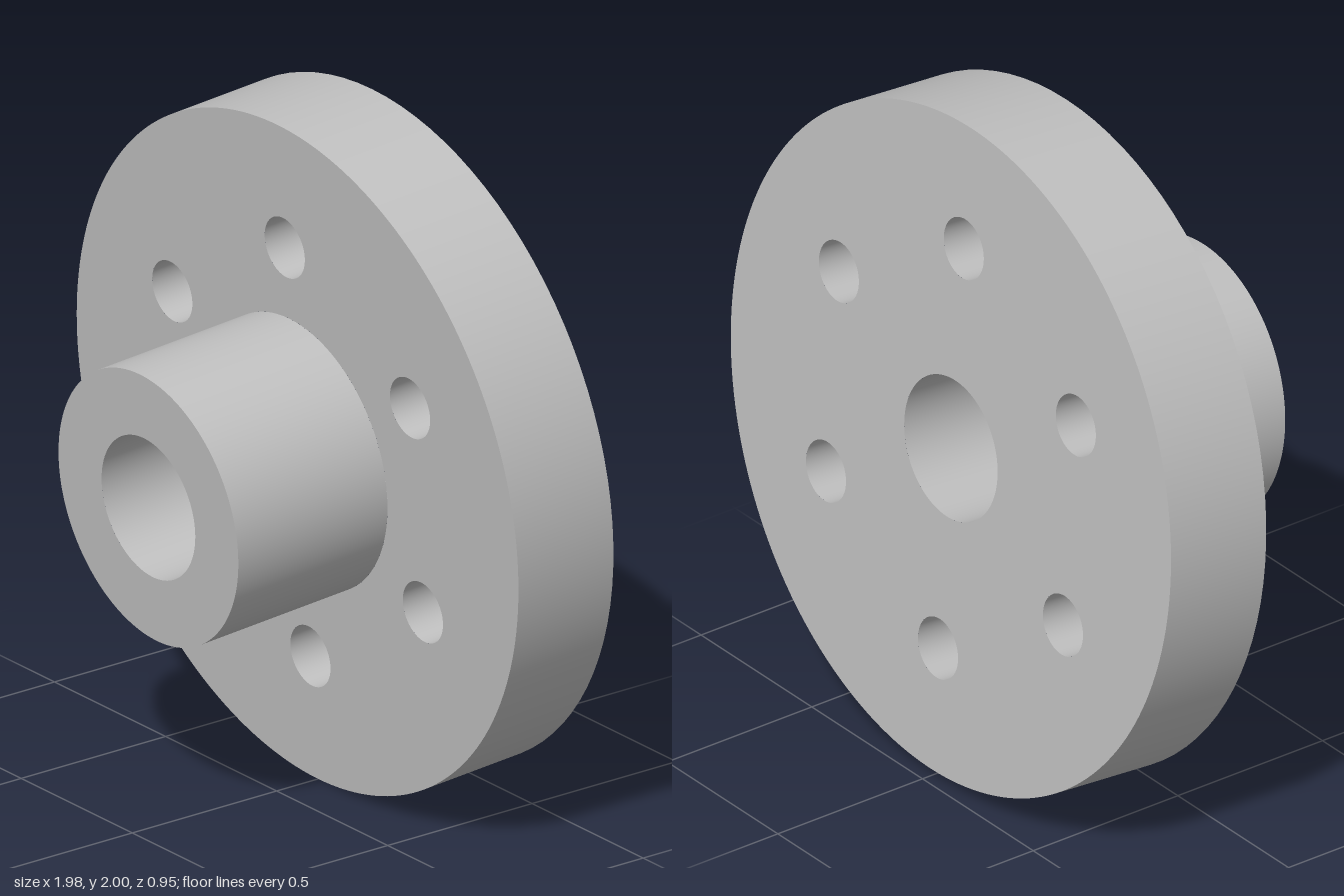
import * as THREE from 'three';

const SEG = 96;
const R = 0.99, HUB_R = 0.403, BORE_R = 0.21, BOLT_R = 0.09, BOLT_CIRCLE = 0.618;
const BACK = -0.33, HUB_FRONT = 0.518; // flange front face lies at z = 0
const TILT = 0.072;

// Round wall along z; facing outward, or inward for holes
function wall(radius, z0, z1, inward = false) {
  const pts = [new THREE.Vector2(radius, z0), new THREE.Vector2(radius, z1)];
  if (inward) pts.reverse();
  return new THREE.LatheGeometry(pts, SEG).rotateX(Math.PI / 2);
}

// Flat disc facing +z, with round holes given as [x, y, radius]
function disc(radius, holes) {
  const shape = new THREE.Shape().absarc(0, 0, radius, 0, Math.PI * 2, false);
  for (const [x, y, r] of holes) {
    shape.holes.push(new THREE.Path().absarc(x, y, r, 0, Math.PI * 2, true));
  }
  return new THREE.ShapeGeometry(shape, SEG);
}

export function createModel() {
  const steel = new THREE.MeshStandardMaterial({ color: 0xbfbfbf });
  steel.name = 'grey steel';

  const model = new THREE.Group();
  model.name = 'hubFlange';
  const part = (name, geometry) => {
    const mesh = new THREE.Mesh(geometry, steel);
    mesh.name = name;
    model.add(mesh);
  };

  // Six bolt holes, the first at the top
  const bolts = [];
  for (let i = 0; i < 6; i++) {
    const a = Math.PI / 2 + (i * Math.PI) / 3;
    bolts.push([BOLT_CIRCLE * Math.cos(a), BOLT_CIRCLE * Math.sin(a), BOLT_R]);
  }

  // Flange
  part('flangeRim', wall(R, BACK, 0));
  part('flangeFront', disc(R, [[0, 0, HUB_R], ...bolts]));
  part('flangeBack', disc(R, [[0, 0, BORE_R], ...bolts]).rotateY(Math.PI).translate(0, 0, BACK));
  bolts.forEach(([x, y, r], i) => part(`boltHole${i + 1}`, wall(r, BACK, 0, true).translate(x, y, 0)));

  // Hub and through bore
  part('hubSide', wall(HUB_R, 0, HUB_FRONT));
  part('hubFront', disc(HUB_R, [[0, 0, BORE_R]]).translate(0, 0, HUB_FRONT));
  part('bore', wall(BORE_R, BACK, HUB_FRONT, true));

  // The whole piece leans slightly forward
  model.rotation.x = TILT;
  model.position.set(0, 0.988, -0.0726);
  return model;
}
